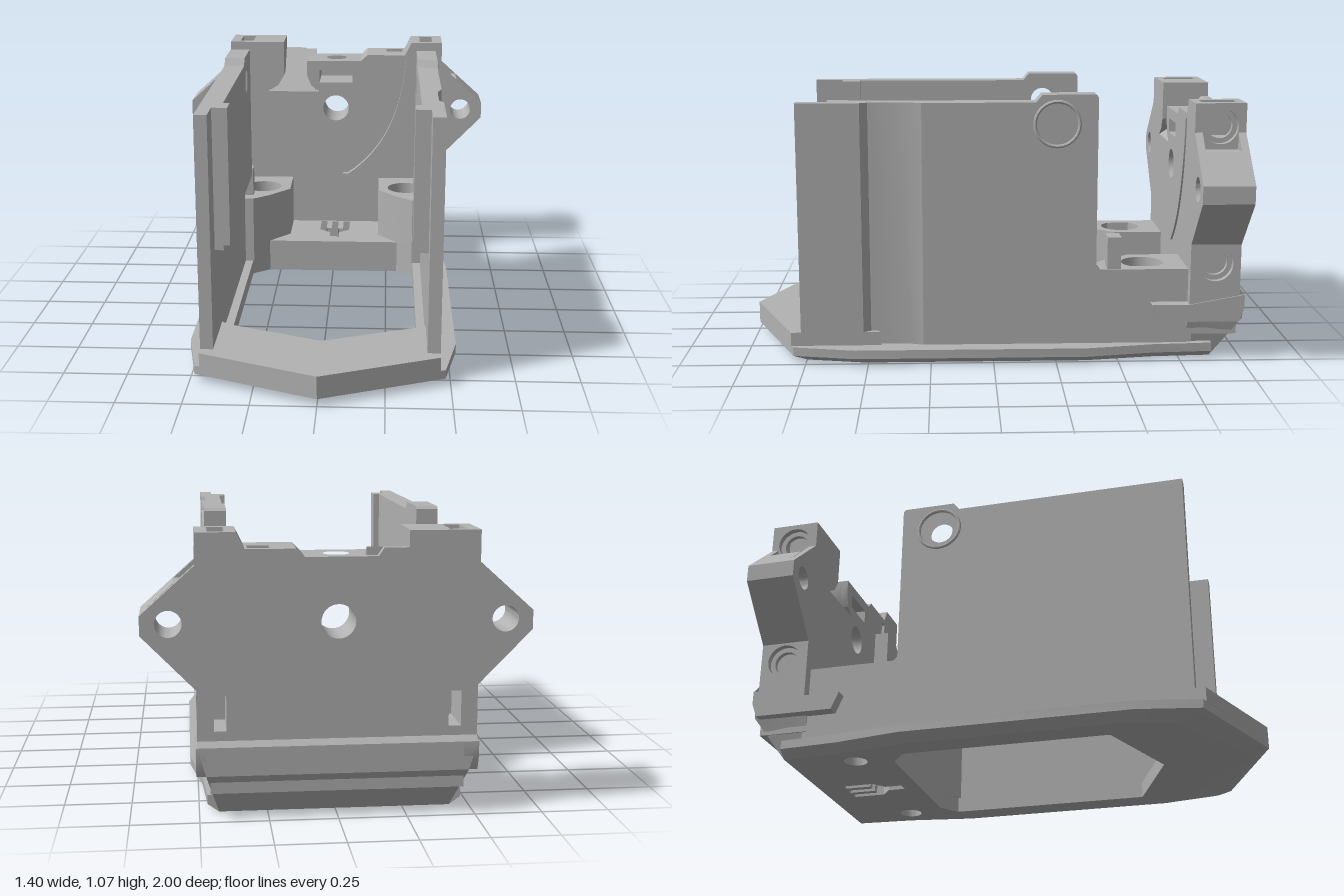
import * as THREE from 'three';
import { toCreasedNormals } from 'three/addons/utils/BufferGeometryUtils.js';

const grey = new THREE.MeshStandardMaterial({ color: 0xb2b2b2 });
grey.name = 'plain grey';

const mirrorX = (pts) => pts.map(([x, y]) => [-x, y]).reverse();

// Closed shape with holes; a hole is a point list or [centreX, centreY, radius]
function makeShape(pts, holes = []) {
  const shape = new THREE.Shape(pts.map(([x, y]) => new THREE.Vector2(x, y)));
  for (const h of holes) {
    if (h instanceof THREE.Path) shape.holes.push(h);
    else if (typeof h[0] === 'number') shape.holes.push(new THREE.Path().absarc(h[0], h[1], h[2], 0, Math.PI * 2, true));
    else shape.holes.push(new THREE.Path(h.map(([x, y]) => new THREE.Vector2(x, y))));
  }
  return shape;
}

const extrude = (shape, depth) => new THREE.ExtrudeGeometry(shape, { depth, bevelEnabled: false, curveSegments: 16 });

export function createModel() {
  const model = new THREE.Group();
  model.name = 'mountBracket';

  const add = (name, geometry) => {
    const mesh = new THREE.Mesh(toCreasedNormals(geometry, 0.5), grey);
    mesh.name = name;
    model.add(mesh);
  };
  // Plan outline (x, z) raised from y0 to y1
  const flat = (pts, holes, y0, y1) => {
    const flip = (p) => p.map(([x, z]) => [x, -z]);
    const hs = holes.map((h) => (typeof h[0] === 'number' ? [h[0], -h[1], h[2]] : flip(h)));
    return extrude(makeShape(flip(pts), hs), y1 - y0).rotateX(-Math.PI / 2).translate(0, y0, 0);
  };
  // Side outline (-z, y) spanning x0 to x1
  const side = (pts, holes, x0, x1) =>
    extrude(makeShape(pts, holes), x1 - x0).rotateY(Math.PI / 2).translate(x0, 0, 0);
  // The same side piece on both sides of the model
  const bothSides = (name, pts, holes, x0, x1) => {
    add(name + 'Left', side(pts, holes, x0, x1));
    add(name + 'Right', side(pts, holes, -x1, -x0));
  };

  // Base plate with pointed nose, large opening, screw holes and forked slot
  const halfBase = [[0.48, 0.8], [0.53, 0.55], [0.53, -0.37], [0.485, -0.64], [0.47, -0.88]];
  const base = [[0, 1], ...halfBase, ...mirrorX(halfBase)];
  const halfOpening = [[0.375, 0.43], [0.375, -0.4], [0.3, -0.46]];
  const opening = [[0, 0.58], ...halfOpening, ...mirrorX(halfOpening)];
  const screws = [[0.34, -0.61, 0.047], [-0.34, -0.61, 0.047]];
  const halfFork = [[0.015, -0.66], [0.015, -0.77], [0.015, -0.66], [0.04, -0.66], [0.04, -0.77], [0.07, -0.77],
    [0.07, -0.64], [0.022, -0.6], [0.022, -0.53]].filter((p, i) => i !== 0);
  const fork = [...halfFork, ...mirrorX(halfFork)];
  add('basePlate', flat(base, [opening, ...screws, fork], 0.03, 0.065));
  const chamfer = flat(base, [opening, ...screws, fork], 0, 0.03);
  const p = chamfer.attributes.position;
  for (let i = 0; i < p.count; i++) {
    const x = p.getX(i), z = p.getZ(i);
    if (p.getY(i) > 0.001 || (Math.abs(x) < 0.4 && z < 0.7)) continue;
    p.setX(i, x * 0.91);
    if (z > 0) p.setZ(i, z * 0.935);
  }
  add('baseChamfer', chamfer);

  // Raised nose deck
  const halfNose = [[0.46, 0.81], [0.46, 0.45], [0.375, 0.52]];
  add('noseDeck', flat([[0, 1], ...halfNose, [0, 0.67], ...mirrorX(halfNose)], [], 0.065, 0.12));

  // Rear floor and the two screw blocks on it
  const halfFloor = [[0.455, -0.8], [0.455, -0.4], [0.37, -0.4], [0.3, -0.46]];
  add('rearFloor', flat([...halfFloor, ...mirrorX(halfFloor)], [...screws, fork], 0.065, 0.145));
  const block = [[0.455, -0.79], [0.21, -0.79], [0.21, -0.57], [0.3, -0.46], [0.37, -0.4], [0.455, -0.4]];
  for (const s of [1, -1]) {
    const pts = s > 0 ? block : mirrorX(block);
    add('screwBlockLower', flat(pts, [[s * 0.34, -0.61, 0.047]], 0.145, 0.28));
    add('screwBlockUpper', flat(pts, [[s * 0.34, -0.61, 0.085]], 0.28, 0.37));
  }

  // Side walls, layered so the screw hole is counterbored from outside
  const wall = (front) => [[front, 0.065], [front, 1.04], [0.165, 1.04], [0.19, 1.07], [0.4, 1.07], [0.41, 1.06],
    [0.41, 0.385], [0.425, 0.37], [0.78, 0.37], [0.78, 0.065]];
  const bolt = (r) => [[0.25, 0.955, r]];
  bothSides('wallCore', wall(-0.77), bolt(0.05), 0.41, 0.435);
  add('wallSkinRight', side(wall(-0.77), bolt(0.082), -0.46, -0.435));
  add('wallSkinLeft', side(wall(-0.28), bolt(0.082), 0.435, 0.46));
  add('wallGroove', flat([[0.435, 0.28], [0.46, 0.28], [0.442, 0.34], [0.442, 0.49], [0.46, 0.52], [0.46, 0.77],
    [0.435, 0.77]], [], 0.065, 1.04));
  bothSides('wallUpperLiner', [[-0.65, 0.48], [-0.65, 1.04], [0.165, 1.04], [0.19, 1.07], [0.4, 1.07], [0.41, 1.06],
    [0.41, 0.48]], bolt(0.05), 0.375, 0.41);
  bothSides('wallRail', [[-0.65, 0.5], [-0.65, 1.04], [-0.57, 1.04], [-0.57, 0.5]], [], 0.35, 0.375);
  bothSides('wallPost', [[0.455, 0.36], [0.455, 0.5], [0.51, 0.5], [0.51, 0.36]], [], 0.375, 0.455);

  // Raised ring around each side bolt
  for (const s of [1, -1]) {
    const ring = new THREE.TorusGeometry(0.088, 0.007, 8, 32).rotateY(Math.PI / 2).translate(s * 0.46, 0.955, -0.25);
    add('boltRing', ring);
  }

  // Hull at the rear, narrowing and sloping toward the bottom
  const tail = side([[0.78, 0], [0.88, 0], [1, 0.17], [1, 0.275], [0.975, 0.3], [0.78, 0.3]], [], -1, 1);
  const t = tail.attributes.position;
  for (let i = 0; i < t.count; i++) {
    const y = t.getY(i);
    t.setX(i, t.getX(i) * (y < 0.01 ? 0.428 : y < 0.2 ? 0.475 : 0.505));
  }
  add('rearHull', tail);
  bothSides('hullFlange', [[0.63, 0.235], [0.66, 0.165], [0.98, 0.165], [1, 0.22], [1, 0.275], [0.78, 0.235]], [], 0.455, 0.51);

  // Rear plate: four layers in depth, sharing one outline with optional cut-outs
  const plate = (back, inner, front) => {
    const ear = [[0.46, 0.1], [0.46, 0.475], [0.5, 0.475], [0.7, 0.68], [0.7, 0.75]];
    const top = inner ? [[0.58, 0.86], [0.46, 0.86], [0.46, 0.9], [0.4, 0.9], [0.4, 1.04]] : [[0.5, 0.93], [0.5, 1.04]];
    const flank = [...ear, ...top];
    const pocket = inner && !front ? [[0.32, 0.98], [0.32, 0.85], [0.24, 0.85], [0.24, 0.98]] : [];
    const nut = back ? [] : [[0.08, 0.95], [0.08, 0.845], [-0.08, 0.845], [-0.08, 0.95]];
    const recess = back ? [[-0.16, 0.98], [-0.25, 0.98]]
      : [[-0.14, 0.88], [-0.12, 0.83], [-0.08, 0.8], [-0.33, 0.8], [-0.28, 0.83], [-0.25, 0.88]];
    return [...flank, [0.36, 1.04], [0.33, 0.98], ...pocket, [0.15, 0.98], [0.12, 0.95], ...nut, [-0.14, 0.95],
      ...recess, [-0.25, 1.04], ...mirrorX(flank)];
  };
  const through = [[0, 0.72, 0.062], [0.6, 0.72, 0.048], [-0.6, 0.72, 0.048]];
  const nutSlots = [1, -1].map((s) => [[s * 0.4, 0.33], [s * 0.445, 0.33], [s * 0.445, 0.46], [s * 0.4, 0.46]]);
  const arc = new THREE.Path().moveTo(0.305, 0.96);
  arc.quadraticCurveTo(0.27, 0.565, 0.03, 0.39);
  arc.lineTo(0.06, 0.39);
  arc.quadraticCurveTo(0.31, 0.56, 0.335, 0.955);
  const layers = [
    ['plateBack', plate(true, false, false), [...through, ...nutSlots], -0.98, -0.95],
    ['plateRearCore', plate(false, true, false), [...through, ...nutSlots], -0.95, -0.88],
    ['plateFrontCore', plate(false, true, true), [...through, ...nutSlots], -0.88, -0.81],
    ['plateFront', plate(false, false, true), [...through, arc], -0.81, -0.78],
  ];
  for (const [name, pts, holes, z0, z1] of layers) {
    add(name, extrude(makeShape(pts, holes), z1 - z0).translate(0, 0, z0));
  }

  // Drilled cap over the centre nut slot, and the ramp in the recess
  add('centreCap', flat([[-0.08, -0.95], [0.08, -0.95], [0.08, -0.78], [-0.08, -0.78]], [[0, -0.88, 0.048]], 0.905, 0.95));
  add('recessRamp', side([[0.781, 0.8], [0.95, 0.8], [0.95, 0.98]], [], -0.32, -0.1));

  // Side cheeks of the rear plate with counterbored holes
  for (const [y, y0, y1] of [[0.95, 0.86, 1.04], [0.4, 0.2, 0.48]]) {
    const cheek = [[0.78, y0], [0.98, y0], [0.98, y1], [0.78, y1]];
    bothSides('cheekInner', cheek, [[0.88, y, 0.05]], 0.46, 0.48);
    bothSides('cheekOuter', cheek, [[0.88, y, 0.07]], 0.48, 0.505);
  }
  return model;
}
